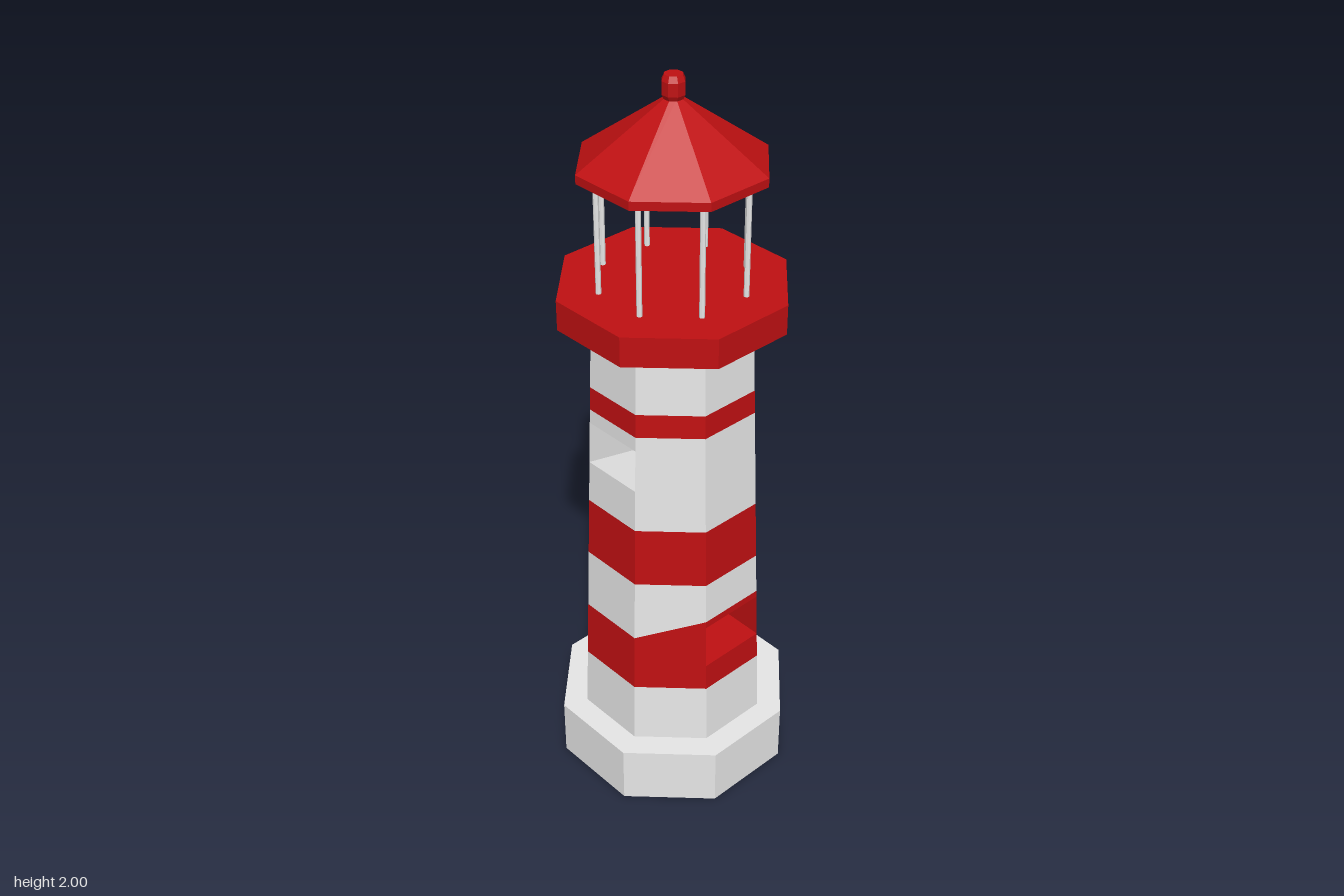
import * as THREE from 'three';

const white = new THREE.MeshStandardMaterial({ color: 0xe7e7e7 });
white.name = 'white';
const red = new THREE.MeshStandardMaterial({ color: 0xc01012 });
red.name = 'red';

// Octagon corner from flat-to-centre distance to corner distance
const CORNER = 1 / Math.cos(Math.PI / 8);

function add(parent, name, geometry, material) {
  const flat = geometry.index ? geometry.toNonIndexed() : geometry;
  flat.computeVertexNormals();
  const mesh = new THREE.Mesh(flat, material);
  mesh.name = name;
  parent.add(mesh);
  return mesh;
}

// Eight-sided prism or frustum with flats facing the axes
function octagon(bottom, top, y0, y1) {
  const g = new THREE.CylinderGeometry(top * CORNER, bottom * CORNER, y1 - y0, 8, 1, false, Math.PI / 8);
  return g.translate(0, (y0 + y1) / 2, 0);
}

function tower() {
  const group = new THREE.Group();
  group.name = 'tower';
  // Ring heights, with the colour of the band above each ring
  const rings = [0.17, 0.35, 0.43, 0.5, 0.52, 0.7, 0.87, 0.89, 1.11, 1.15, 1.215, 1.4];
  const redBands = [1, 2, 3, 5, 9];

  const point = (ring, corner) => {
    const k = corner % 8;
    let y = rings[ring];
    if ((k === 1 || k === 2) && (ring === 3 || ring === 4)) y += 0.06; // raised front lintel
    if ((k === 3 || k === 4) && ring === 7) y += 0.1; // raised sill on one side
    const r = (0.241 - 0.044 * (y - 0.17) / 1.23) * CORNER;
    const a = Math.PI / 8 + k * Math.PI / 4;
    return [r * Math.cos(a), y, r * Math.sin(a)];
  };
  const quad = (list, a, b, c, d) => list.push(...a, ...b, ...c, ...a, ...c, ...d);
  const build = (name, list, material) => {
    const g = new THREE.BufferGeometry();
    g.setAttribute('position', new THREE.Float32BufferAttribute(list, 3));
    add(group, name, g, material);
  };

  // Striped walls, leaving out the four openings
  const walls = { red: [], white: [] };
  for (let i = 0; i < rings.length - 1; i++) {
    const list = redBands.includes(i) ? walls.red : walls.white;
    for (let f = 0; f < 8; f++) {
      if (i === 2 && f % 4 === 1) continue;
      if (i === 7 && f % 4 === 3) continue;
      quad(list, point(i, f + 1), point(i, f), point(i + 1, f), point(i + 1, f + 1));
    }
  }
  build('redStripes', walls.red, red);
  build('whiteWalls', walls.white, white);

  // Passage running through the tower between two opposite openings
  const passage = (name, f, lo, material) => {
    const list = [];
    const corners = [f + 1, f, f + 5, f + 4];
    const [a, b, c, d] = corners.map(k => point(lo, k));
    const [A, B, C, D] = corners.map(k => point(lo + 1, k));
    quad(list, a, b, c, d);
    quad(list, D, C, B, A);
    quad(list, b, B, C, c);
    quad(list, d, D, A, a);
    build(name, list, material);
  };
  passage('doorPassage', 1, 2, red);
  passage('windowPassage', 3, 7, white);
  return group;
}

export function createModel() {
  const model = new THREE.Group();
  model.name = 'lighthouse';

  add(model, 'base', octagon(0.305, 0.305, 0, 0.17), white);
  model.add(tower());
  add(model, 'gallery', octagon(0.275, 0.275, 1.395, 1.475), red);

  // Lantern posts, one per corner
  const posts = new THREE.Group();
  posts.name = 'lanternPosts';
  for (let k = 0; k < 8; k++) {
    const a = Math.PI / 8 + k * Math.PI / 4;
    const post = add(posts, 'post', new THREE.CylinderGeometry(0.007, 0.007, 0.31, 8), white);
    post.position.set(0.191 * Math.cos(a), 1.625, 0.191 * Math.sin(a));
  }
  model.add(posts);

  // Roof with a thin rim and a small finial
  add(model, 'roofRim', octagon(0.22, 0.22, 1.768, 1.79), red);
  add(model, 'roof', octagon(0.22, 0.018, 1.79, 1.945), red);
  add(model, 'finialBottom', octagon(0.02, 0.027, 1.937, 1.953), red);
  add(model, 'finialMiddle', octagon(0.027, 0.027, 1.953, 1.985), red);
  add(model, 'finialTop', octagon(0.027, 0.021, 1.985, 2), red);
  return model;
}
